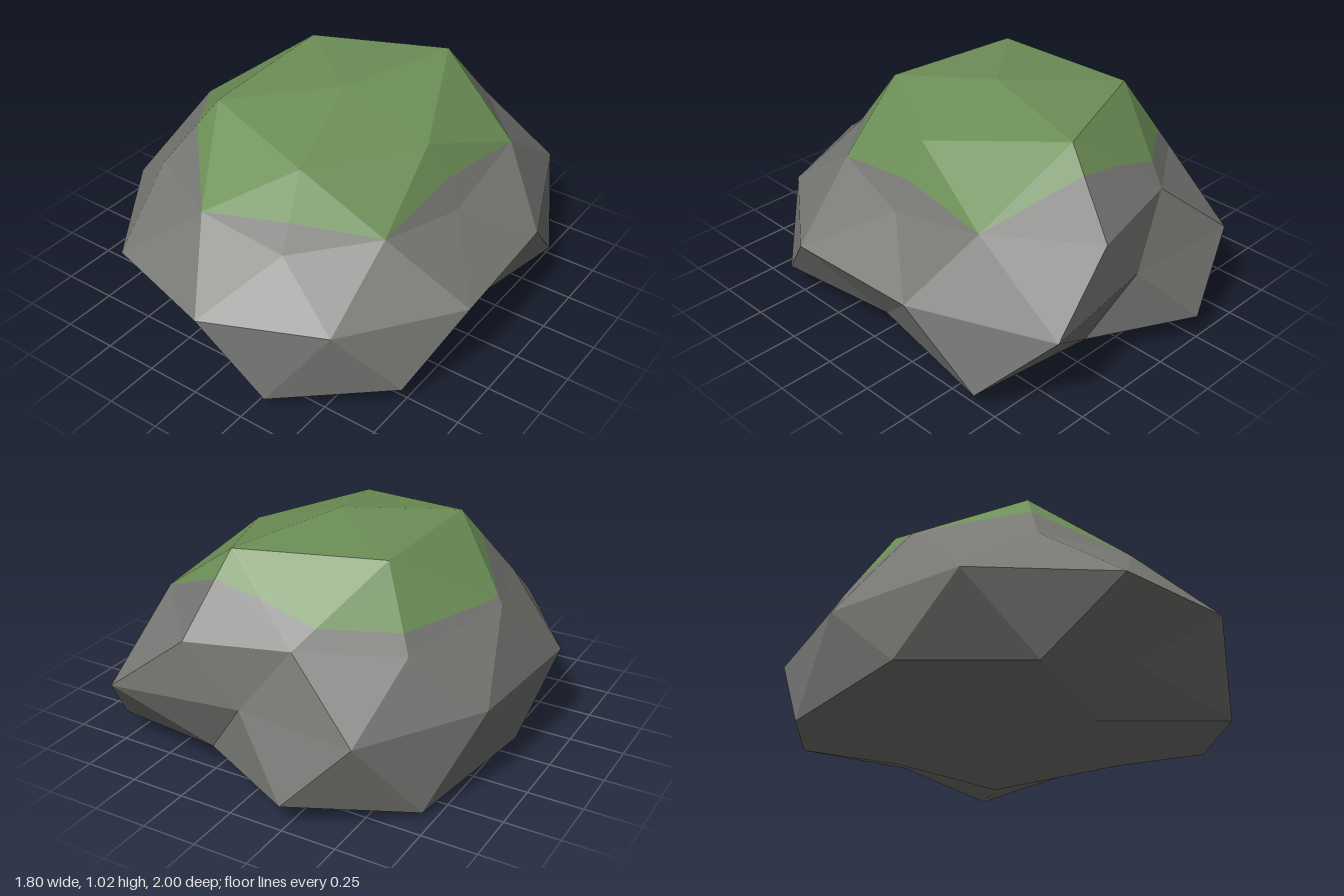
import * as THREE from 'three';

// Low-poly boulder: a subdivided icosahedron, each corner pushed in or out along its ray.
const CENTER = new THREE.Vector3(0.03, 0.41, -0.04);
const SCALE = new THREE.Vector3(0.875, 0.588, 1);

// Corner at an azimuth (from front towards +x) and height; moss >= 0 means it is overgrown.
function corner(azimuth, height, radius, moss = -1) {
  const a = THREE.MathUtils.degToRad(azimuth);
  const flat = Math.sqrt(1 - height * height);
  const p = new THREE.Vector3(flat * Math.sin(a), height, flat * Math.cos(a))
    .multiplyScalar(radius).multiply(SCALE).add(CENTER);
  p.y = Math.max(0, p.y); // flat underside
  return { p, moss };
}

// Part of a polygon where sign * moss >= 0
function clip(poly, sign) {
  const out = [];
  poly.forEach((a, i) => {
    const b = poly[(i + 1) % poly.length];
    if (sign * a.moss >= 0) out.push(a);
    if (a.moss * b.moss < 0) {
      const t = a.moss / (a.moss - b.moss);
      out.push({ p: a.p.clone().lerp(b.p, t), moss: 0 });
    }
  });
  return out;
}

function facetedMesh(name, polygons, material) {
  const positions = [];
  const tri = new THREE.Triangle();
  for (const poly of polygons) {
    for (let i = 1; i + 1 < poly.length; i++) {
      tri.set(poly[0].p, poly[i].p, poly[i + 1].p);
      if (tri.getArea() < 1e-6) continue;
      for (const v of [tri.a, tri.b, tri.c]) positions.push(v.x, v.y, v.z);
    }
  }
  const geometry = new THREE.BufferGeometry();
  geometry.setAttribute('position', new THREE.Float32BufferAttribute(positions, 3));
  geometry.computeVertexNormals();
  const mesh = new THREE.Mesh(geometry, material);
  mesh.name = name;
  return mesh;
}

export function createModel() {
  const rockMaterial = new THREE.MeshStandardMaterial({ color: 0x777874 });
  rockMaterial.name = 'grey stone';
  const mossMaterial = new THREE.MeshStandardMaterial({ color: 0x6d8f57 });
  mossMaterial.name = 'green moss';

  // Rings of corners from crown to base
  const top = corner(0, 1, 1.04, 1);
  const crownMoss = [1, 1, 0.33, 1, 1];
  const crown = [1.02, 0.957, 1.19, 1.16, 1.13]
    .map((r, k) => corner(18 + 72 * k, 0.8507, r, crownMoss[k]));
  const shoulderMoss = [-0.61, 0, -0.82, 0, -0.67, -0.33, -0.33, -0.1, -1.63, 0];
  const shoulder = [0.835, 0.85, 0.767, 0.97, 1.01, 0.94, 0.95, 1.05, 0.975, 0.903]
    .map((r, j) => corner(18 + 36 * j, j % 2 ? 0.5257 : 0.4472, r, shoulderMoss[j]));
  const waist = [1.04, 1.0, 1.045, 1.01, 1.14, 0.83, 1.075, 1.06, 1.12, 1.088]
    .map((r, j) => corner(36 * j, 0, r));
  const skirt = [1.165, 1.16, 0.91, 1.21, 0.91, 1.13, 1.22, 1.125, 1.08, 0.87]
    .map((r, j) => corner(18 + 36 * j, j % 2 ? -0.4472 : -0.5257, r));
  const base = [1.07, 1.07, 1.02, 1.1, 1.02]
    .map((r, k) => corner(54 + 72 * k, -0.8507, r));
  const bottom = corner(0, -1, 1);

  const faces = [];
  for (let k = 0; k < 5; k++) {
    const n = (k + 1) % 5;
    const j = 2 * k, right = j + 1, left = (j + 9) % 10, next = (j + 2) % 10;
    // Crown
    faces.push([top, crown[k], crown[n]], [crown[k], shoulder[right], crown[n]],
      [crown[k], shoulder[j], shoulder[right]], [crown[k], shoulder[left], shoulder[j]]);
    // Underside
    faces.push([bottom, base[n], base[k]], [base[k], base[n], skirt[next]],
      [base[k], skirt[right], skirt[j]], [base[k], skirt[next], skirt[right]]);
  }
  // Sides above and below the waist
  for (let j = 0; j < 10; j++) {
    const n = (j + 1) % 10;
    faces.push([shoulder[j], waist[j], waist[n]], [shoulder[j], waist[n], shoulder[n]],
      [skirt[j], waist[n], waist[j]], [skirt[j], skirt[n], waist[n]]);
  }

  const model = new THREE.Group();
  model.name = 'mossyBoulder';
  model.add(
    facetedMesh('boulder', faces.map((f) => clip(f, -1)).filter((f) => f.length > 2), rockMaterial),
    facetedMesh('mossCap', faces.map((f) => clip(f, 1)).filter((f) => f.length > 2), mossMaterial),
  );
  return model;
}
